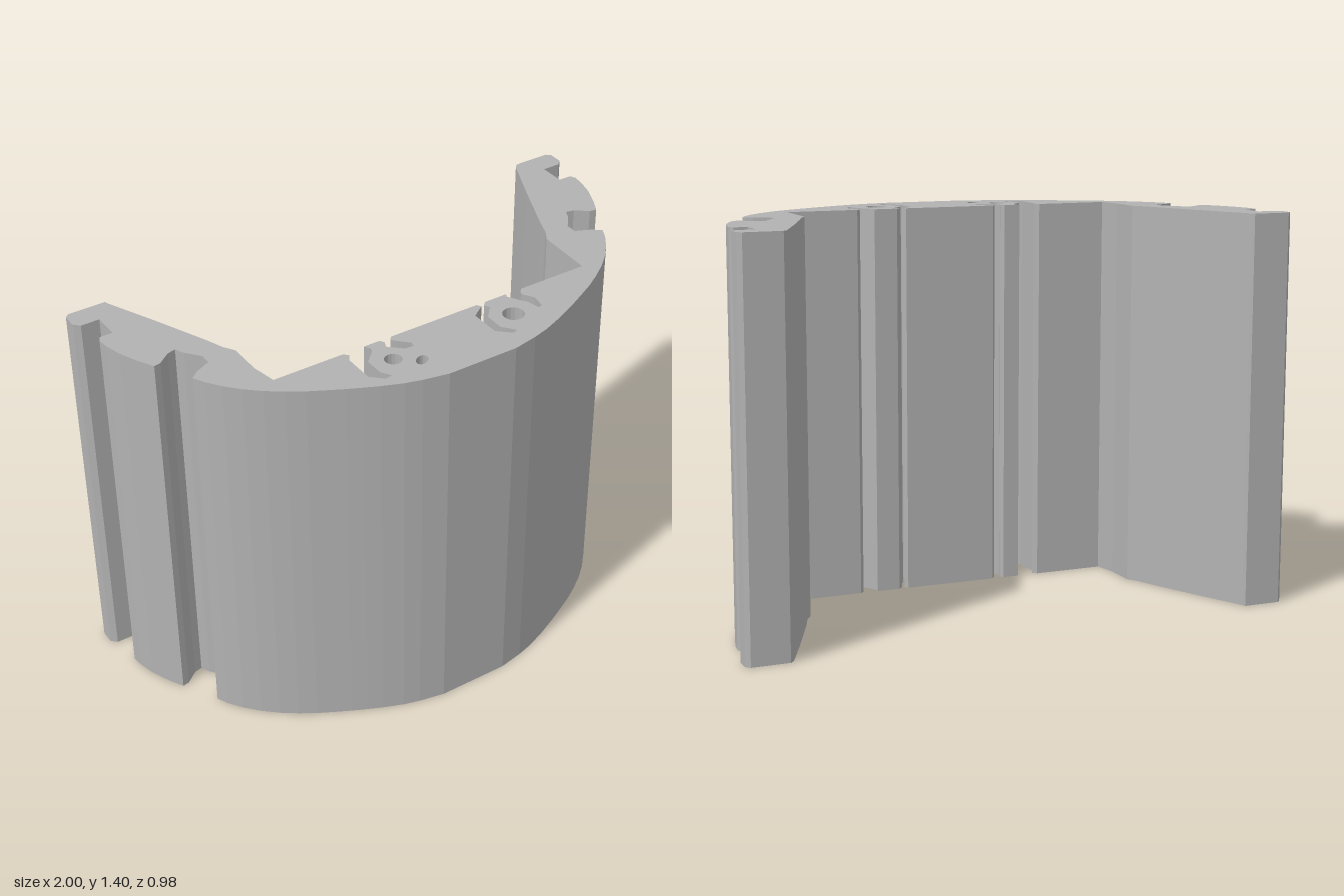
import * as THREE from 'three';

const HEIGHT = 1.4;

// Plan coordinates are [x, z]; the shape plane uses y = -z.
const toVectors = (pts) => pts.map(([x, z]) => new THREE.Vector2(x, -z));
const mirror = (pts) => pts.map(([x, z]) => [-x, z]).reverse();

function ellipseHole(x, z, rx, rz, turn = 0) {
  const path = new THREE.Path();
  path.absellipse(x, -z, rx, rz, 0, Math.PI * 2, false, turn);
  return path;
}

export function createModel() {
  const group = new THREE.Group();
  group.name = 'extrudedProfile';
  const metal = new THREE.MeshStandardMaterial({ color: 0xb2b2b2 });
  metal.name = 'grey aluminium';

  // Arm outline with its hooks and grooves, from the tip down to the bow
  const armOuter = [
    [0.85, -0.49], [0.985, -0.49], [1.0, -0.475], [1.0, -0.425], [0.98, -0.405],
    [0.913, -0.405], [0.913, -0.31], [0.96, -0.31], [0.97, -0.29], [0.965, -0.25],
    [0.95, -0.19], [0.92, -0.12], [0.89, -0.065], [0.865, -0.07], [0.82, -0.105],
    [0.79, -0.112], [0.775, -0.08], [0.735, -0.03], [0.735, 0.01], [0.79, 0.035],
    [0.82, 0.06],
  ];

  // Curved front face, from the side lip to the flat middle
  const bow = [
    [0.8, 0.1], [0.765, 0.15], [0.72, 0.2], [0.67, 0.245], [0.615, 0.285],
    [0.56, 0.32], [0.5, 0.352], [0.45, 0.378], [0.4, 0.402], [0.35, 0.425],
    [0.28, 0.453], [0.22, 0.47], [0.13, 0.488],
  ];
  const armInner = [[0.62, 0.0], [0.645, -0.04], [0.67, -0.105], [0.755, -0.3], [0.835, -0.475]];

  // Undercut grooves in the flat back, listed from left to right
  const grooves = [
    [[-0.355, 0.21], [-0.34, 0.225], [-0.355, 0.25], [-0.355, 0.36], [-0.315, 0.4],
      [-0.288, 0.395], [-0.31, 0.36], [-0.31, 0.29], [-0.27, 0.25], [-0.262, 0.23], [-0.275, 0.21]],
    [[-0.215, 0.21], [-0.205, 0.225], [-0.215, 0.25], [-0.17, 0.293], [-0.137, 0.295],
      [-0.135, 0.275], [-0.17, 0.24], [-0.182, 0.225], [-0.17, 0.21]],
    [[0.17, 0.21], [0.18, 0.225], [0.13, 0.26], [0.13, 0.37], [0.175, 0.412],
      [0.195, 0.405], [0.16, 0.36], [0.16, 0.29], [0.2, 0.245], [0.19, 0.225], [0.205, 0.21]],
    [[0.29, 0.21], [0.285, 0.225], [0.3, 0.25], [0.325, 0.29], [0.335, 0.335],
      [0.35, 0.33], [0.36, 0.28], [0.335, 0.24], [0.34, 0.225], [0.355, 0.21]],
  ];

  const shape = new THREE.Shape(toVectors([
    ...armOuter, ...bow, ...mirror(bow), ...mirror(armOuter),
    ...armInner.map(([x, z]) => [-x - 0.01, z]).reverse(),
    [-0.63, 0.12], [-0.613, 0.21],
    ...grooves.flat(),
    [0.613, 0.21], ...armInner,
  ]));

  // Screw channels
  shape.holes.push(
    ellipseHole(-0.235, 0.322, 0.03, 0.03),
    ellipseHole(-0.16, 0.376, 0.027, 0.019, 0.6),
    ellipseHole(0.242, 0.32, 0.038, 0.038),
  );

  const geometry = new THREE.ExtrudeGeometry(shape, {
    depth: HEIGHT, bevelEnabled: false, curveSegments: 8,
  });
  geometry.rotateX(-Math.PI / 2);
  const profile = new THREE.Mesh(geometry, metal);
  profile.name = 'profileBody';
  group.add(profile);
  return group;
}
